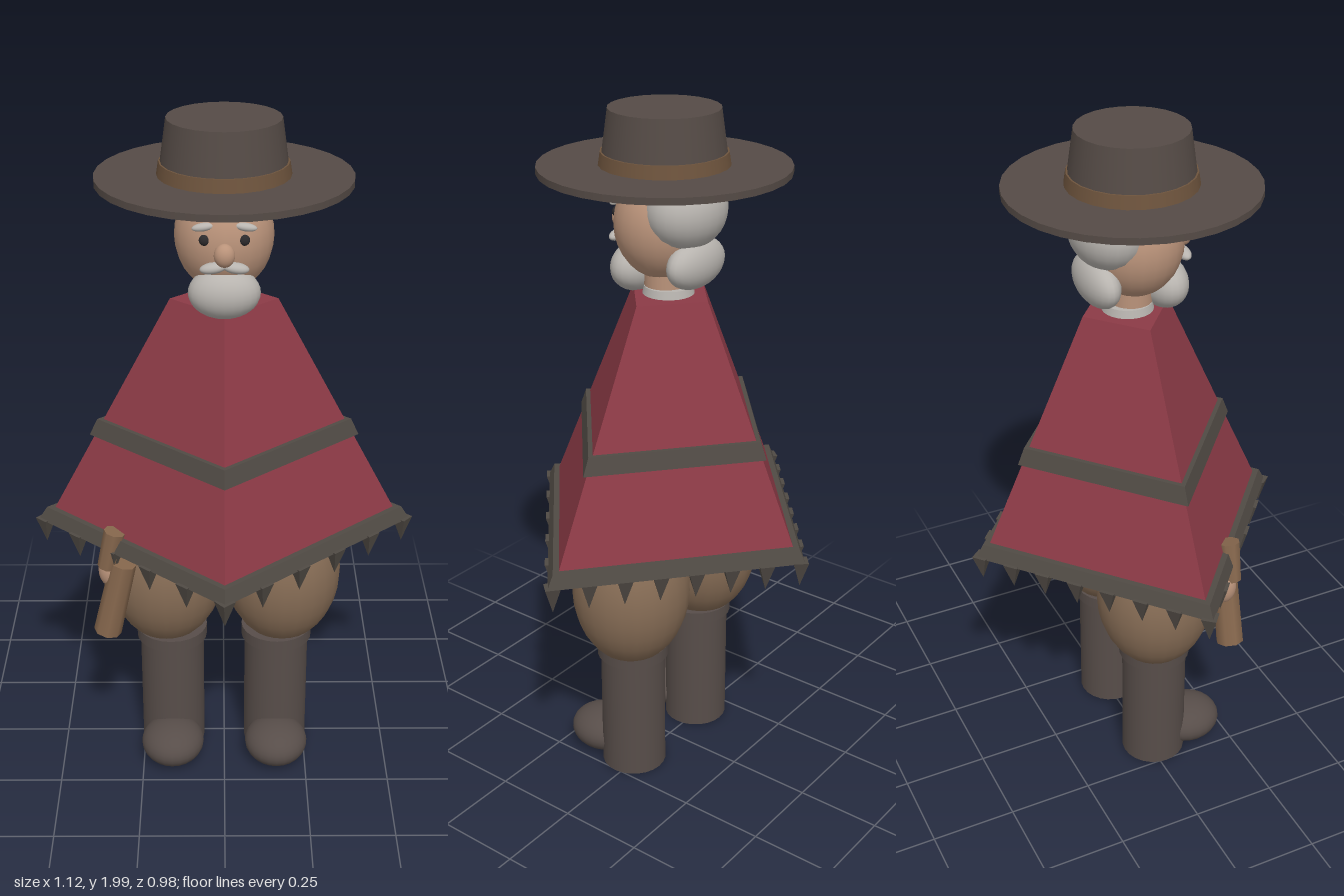
import * as THREE from 'three';

const mat = (name, color, flatShading = false) => {
  const m = new THREE.MeshStandardMaterial({ color, flatShading });
  m.name = name;
  return m;
};

export function createModel() {
  const root = new THREE.Group();
  root.name = 'ponchoMan';
  const red = mat('ponchoRed', 0x8c3a46, true);
  const trim = mat('trimGrey', 0x504a44, true);
  const felt = mat('hatFelt', 0x554b46);
  const leather = mat('bootLeather', 0x574d49);
  const pants = mat('trouserBrown', 0x866c55);
  const skin = mat('skin', 0xba937a);
  const hair = mat('hairGrey', 0xb8b4af);
  const wood = mat('wood', 0x86674d);
  const band = mat('bandBrown', 0x6e543d);
  const dark = mat('eyeDark', 0x2c2a2c);

  const add = (name, geo, m, x, y, z, parent = root) => {
    const mesh = new THREE.Mesh(geo, m);
    mesh.name = name;
    mesh.position.set(x, y, z);
    parent.add(mesh);
    return mesh;
  };
  const ball = (name, m, x, y, z, rx, ry, rz) =>
    add(name, new THREE.SphereGeometry(1, 24, 16).scale(rx, ry, rz), m, x, y, z);
  const drum = (name, m, rTop, rBottom, y0, y1, x, z, sides = 24) =>
    add(name, new THREE.CylinderGeometry(rTop, rBottom, y1 - y0, sides), m, x, (y0 + y1) / 2, z);
  // Four-sided frustum with its corners on the x and z axes
  const DEPTH = 0.865;
  const diamond = (name, m, rTop, rBottom, y0, y1) =>
    add(name, new THREE.CylinderGeometry(rTop, rBottom, y1 - y0, 4).scale(1, 1, DEPTH), m, 0, (y0 + y1) / 2, 0);

  // Poncho with two trim bands
  diamond('poncho', red, 0.15, 0.505, 0.82, 1.49);
  diamond('middleTrim', trim, 0.365, 0.388, 1.07, 1.12);
  diamond('hemTrim', trim, 0.525, 0.55, 0.79, 0.83);

  // Fringe along the four hem edges
  const fringe = new THREE.Group();
  fringe.name = 'fringe';
  root.add(fringe);
  const tassel = new THREE.ConeGeometry(0.03, 0.08, 4).rotateX(Math.PI);
  const R = 0.53;
  for (const sx of [1, -1]) for (const sz of [1, -1]) {
    const n = sz > 0 ? 5 : 7;
    for (let i = 0; i < n; i++) {
      // each edge starts at a different corner, so no tassel is doubled
      const t = sx * sz > 0 ? i / n : (i + 1) / n;
      const a = add('tassel', tassel, trim, sx * R * t, 0.755, sz * R * DEPTH * (1 - t), fringe);
      a.rotation.y = sx * sz * 0.71 + Math.PI / 4;
    }
  }

  // Hips, legs and boots
  ball('hips', pants, 0, 0.82, 0, 0.24, 0.1, 0.16);
  for (const s of [1, -1]) {
    const side = s > 0 ? 'left' : 'right';
    ball(side + 'Thigh', pants, s * 0.175, 0.625, 0.01, 0.175, 0.235, 0.172);
    drum(side + 'BootShaft', leather, 0.097, 0.097, 0.01, 0.4, s * 0.16, 0.018);
    drum(side + 'BootCuff', leather, 0.107, 0.107, 0.395, 0.432, s * 0.16, 0.018);
    ball(side + 'BootToe', leather, s * 0.16, 0.073, 0.135, 0.096, 0.065, 0.105);
  }

  // Hands and sleeve cuffs
  ball('leftHand', skin, 0.32, 0.71, 0.035, 0.036, 0.055, 0.036);
  drum('leftCuff', hair, 0.045, 0.045, 0.745, 0.79, 0.31, 0.04, 16);
  ball('rightHand', skin, -0.33, 0.71, 0.155, 0.036, 0.055, 0.036);

  // Tilted club with a thinner grip
  const club = drum('club', wood, 0.038, 0.041, -0.12, 0.12, 0, 0, 8);
  club.position.set(-0.318, 0.627, 0.175);
  club.rotation.z = -0.225;
  const grip = drum('clubGrip', wood, 0.032, 0.028, -0.06, 0.06, 0, 0, 8);
  grip.position.set(-0.326, 0.79, 0.175);
  grip.rotation.z = -0.225;

  // Neck, head, beard and hair
  drum('neck', skin, 0.06, 0.06, 1.47, 1.58, 0, 0.015);
  drum('collar', hair, 0.068, 0.075, 1.48, 1.512, 0, 0.005);
  ball('head', skin, 0, 1.685, 0.025, 0.135, 0.155, 0.135);
  ball('beard', hair, 0, 1.55, 0.11, 0.098, 0.072, 0.066);
  ball('backHair', hair, 0, 1.735, -0.055, 0.13, 0.11, 0.104);
  ball('napeHair', hair, 0, 1.592, -0.088, 0.115, 0.07, 0.052);
  ball('nose', skin, 0, 1.675, 0.17, 0.028, 0.032, 0.025);
  for (const s of [1, -1]) {
    const side = s > 0 ? 'left' : 'right';
    ball(side + 'Eye', dark, s * 0.052, 1.708, 0.143, 0.015, 0.015, 0.012);
    ball(side + 'Brow', hair, s * 0.056, 1.742, 0.138, 0.03, 0.011, 0.013).rotation.z = -s * 0.15;
    ball(side + 'Moustache', hair, s * 0.03, 1.636, 0.156, 0.036, 0.015, 0.02).rotation.z = -s * 0.15;
  }

  // Wide-brimmed hat
  drum('hatBrim', felt, 0.346, 0.346, 1.83, 1.849, 0, 0.018, 32);
  drum('hatCrown', felt, 0.153, 0.175, 1.845, 2, 0, 0.018, 24);
  drum('hatBand', band, 0.174, 0.18, 1.847, 1.885, 0, 0.018, 24);
  return root;
}
